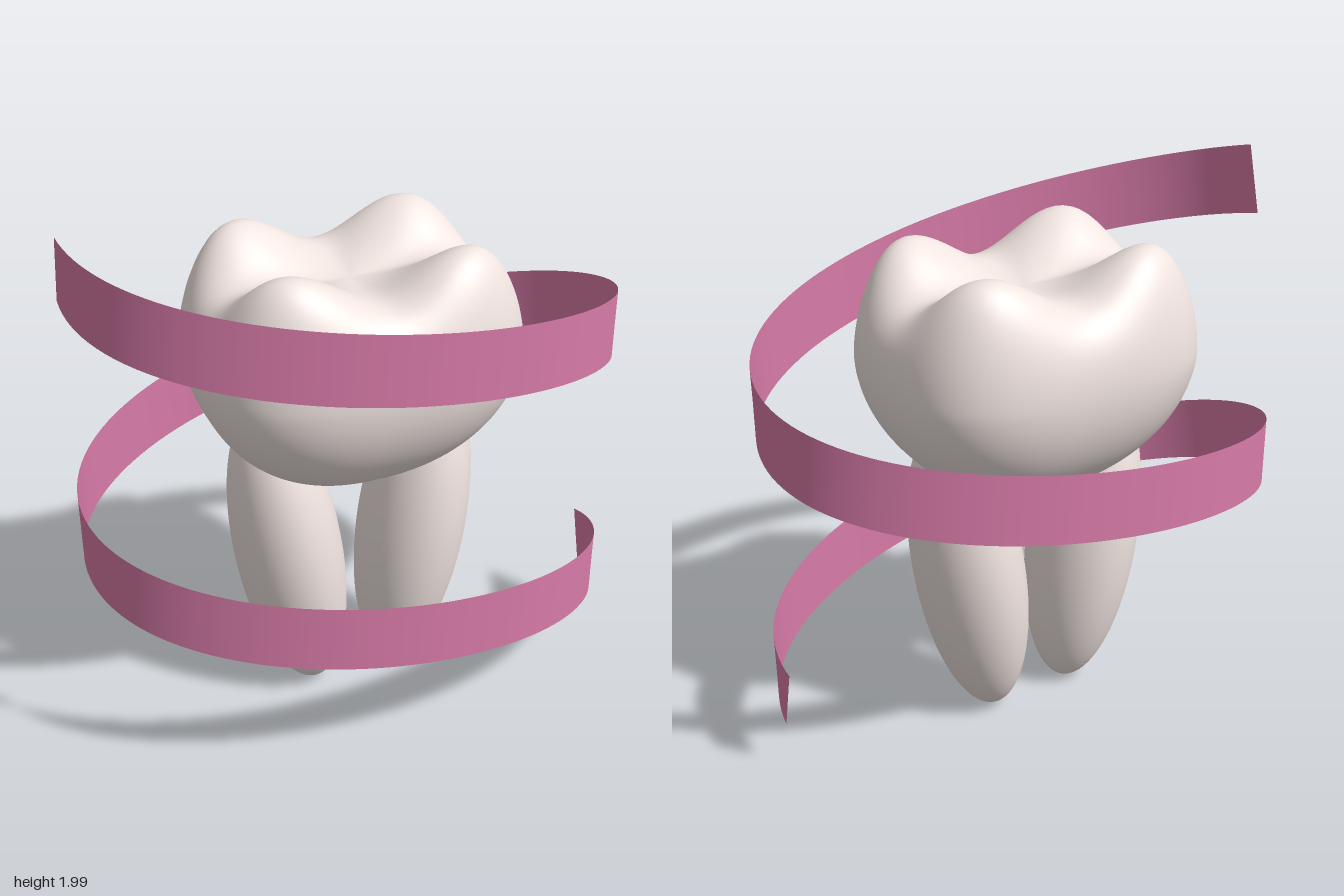
import * as THREE from 'three';
import { mergeVertices } from 'three/addons/utils/BufferGeometryUtils.js';

const enamel = new THREE.MeshStandardMaterial({ color: 0xf0e4e0 });
const pink = new THREE.MeshStandardMaterial({ color: 0xd87ba8, side: THREE.DoubleSide });

// Crown: a sphere squared off in plan, with a central pit and four cusps on top
function crownGeometry() {
  const geo = new THREE.SphereGeometry(1, 96, 72);
  geo.deleteAttribute('uv');
  geo.deleteAttribute('normal');
  const pos = geo.attributes.position;
  for (let i = 0; i < pos.count; i++) {
    const x = pos.getX(i), y = pos.getY(i), z = pos.getZ(i);
    const s = Math.min(1, Math.hypot(x, z));
    const cx = s > 1e-6 ? x / s : 1, cz = s > 1e-6 ? z / s : 0;
    const p = y > 0 ? 3.1 : 3.1 + 0.8 * y;
    const square = 1 / Math.pow(Math.abs(cx) ** p + Math.abs(cz) ** p, 1 / p);
    const r = (y > 0 ? s ** 0.85 : s) * square;
    let h = 1.42 + 0.5 * y;
    if (y > 0) {
      const pit = 0.25 * Math.exp(-((s / 0.75) ** 2)) * (1 - s ** 8);
      const cusp = 0.14 * Math.sin(Math.PI * s ** 1.8) * (2 * cx * cz) ** 2;
      h += cusp - pit;
    }
    pos.setXYZ(i, 0.573 * cx * r, h, 0.461 * cz * r);
  }
  const merged = mergeVertices(geo, 1e-5);
  merged.computeVertexNormals();
  return merged;
}

// Ribbon: a strip wound one and a half turns up an elliptical helix,
// its edges kept square to the direction of travel
function ribbonGeometry() {
  const A = 0.998, B = 0.622, turn = 3 * Math.PI, rise = 1.555 / turn, half = 0.126;
  const geo = new THREE.PlaneGeometry(1, 2, 192, 1);
  const pos = geo.attributes.position;
  for (let i = 0; i < pos.count; i++) {
    const t = (pos.getX(i) + 0.5) * turn, side = pos.getY(i);
    const speed = Math.hypot(A * Math.sin(t), B * Math.cos(t));
    const slope = Math.atan2(rise, speed);
    const a = t - (side * half * Math.sin(slope)) / speed;
    pos.setXYZ(i, A * Math.cos(a), 0.322 + rise * t + side * half * Math.cos(slope), B * Math.sin(a));
  }
  geo.computeVertexNormals();
  return geo;
}

export function createModel() {
  const model = new THREE.Group();
  const add = (name, geo, mat) => {
    const mesh = new THREE.Mesh(geo, mat);
    mesh.name = name;
    model.add(mesh);
    return mesh;
  };

  add('crown', crownGeometry(), enamel);

  // Two roots, leaning outward toward the top
  for (const [name, side] of [['leftRoot', 1], ['rightRoot', -1]]) {
    const root = add(name, new THREE.SphereGeometry(1, 48, 40), enamel);
    root.scale.set(0.197, 0.617, 0.23);
    root.rotation.z = -0.146 * side;
    root.position.set(0.25 * side, 0.62, 0);
  }

  add('ribbon', ribbonGeometry(), pink);
  return model;
}
